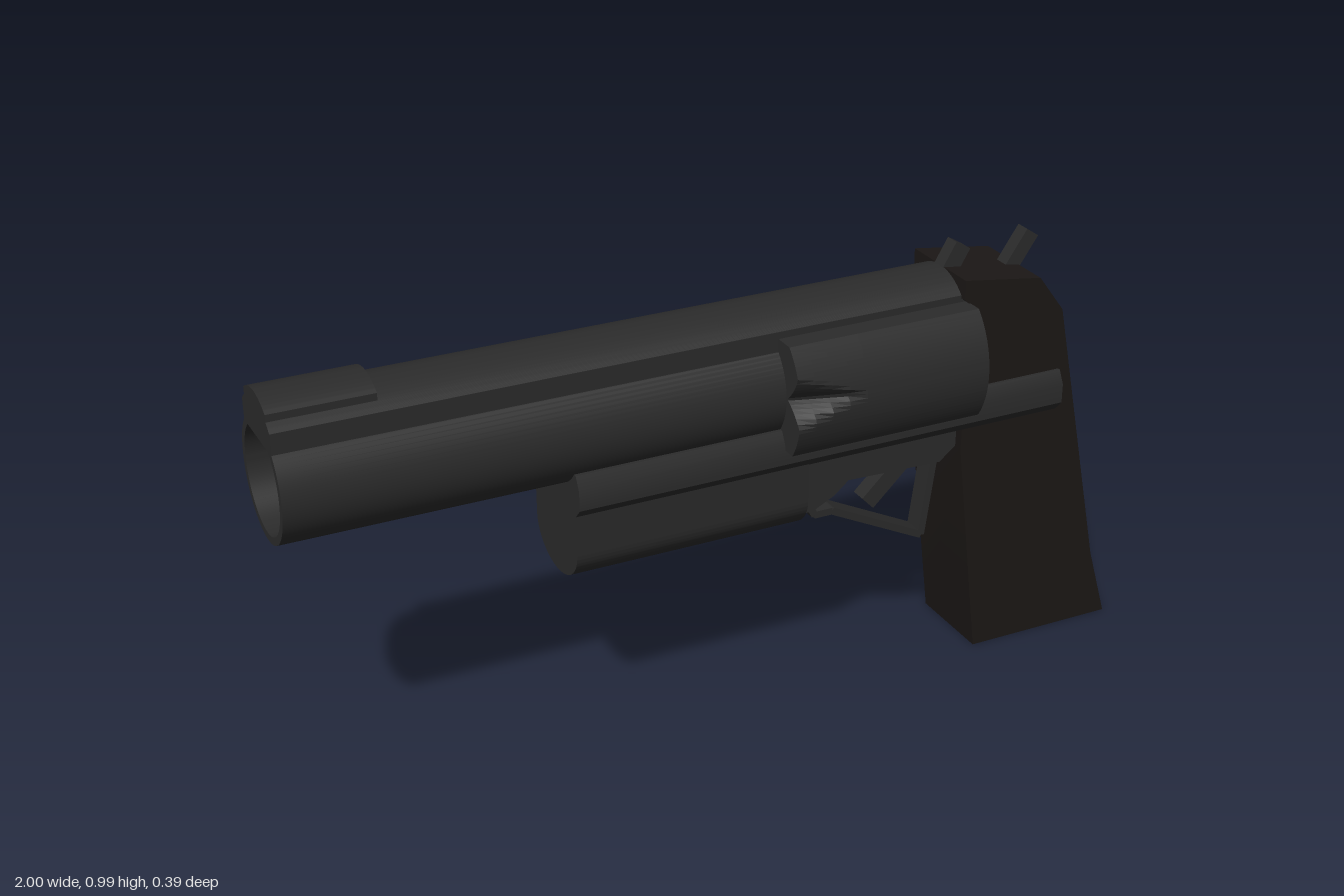
import * as THREE from 'three';
import { toCreasedNormals } from 'three/addons/utils/BufferGeometryUtils.js';

const metal = new THREE.MeshStandardMaterial({ color: 0x2b2b2b });
const metalFlat = new THREE.MeshStandardMaterial({ color: 0x2b2b2b, flatShading: true, side: THREE.DoubleSide });
const gripMat = new THREE.MeshStandardMaterial({ color: 0x1c1816 });
const Z0 = -0.004;

export function createModel() {
  const group = new THREE.Group();

  function add(name, geometry, material = metal) {
    const mesh = new THREE.Mesh(geometry, material);
    mesh.name = name;
    group.add(mesh);
    return mesh;
  }

  const polygon = (pts) => new THREE.Shape(pts.map(([a, b]) => new THREE.Vector2(a, b)));

  // Cross-section (z, y) swept along x
  function alongX(name, shape, x0, x1) {
    const g = new THREE.ExtrudeGeometry(shape, { depth: x1 - x0, bevelEnabled: false, curveSegments: 40 });
    g.rotateY(Math.PI / 2).translate(x0, 0, Z0);
    return add(name, toCreasedNormals(g, 0.5));
  }

  // Side outline (x, y) given a width across z
  function alongZ(name, pts, width, material) {
    const g = new THREE.ExtrudeGeometry(polygon(pts), { depth: width, bevelEnabled: false });
    g.translate(0, 0, Z0 - width / 2);
    return add(name, toCreasedNormals(g, 0.3), material);
  }

  // Straight bar between two side-view points
  function bar(name, [x0, y0], [x1, y1], thick, width) {
    const dx = x1 - x0, dy = y1 - y0;
    const m = add(name, new THREE.BoxGeometry(Math.hypot(dx, dy), thick, width));
    m.position.set((x0 + x1) / 2, (y0 + y1) / 2, Z0);
    m.rotation.z = Math.atan2(dy, dx);
  }

  // Section with straight sides and a domed top, centred on z = 0
  function dome(halfWidth, bottom, centreY, r) {
    const a = Math.acos(halfWidth / r);
    const s = new THREE.Shape();
    s.moveTo(-halfWidth, bottom);
    s.lineTo(halfWidth, bottom);
    s.absarc(0, centreY, r, a, Math.PI - a, false);
    s.closePath();
    return s;
  }

  // Hollow barrel
  const ring = new THREE.Shape().absarc(0, 0.76, 0.133, 0, Math.PI * 2);
  ring.holes.push(new THREE.Path().absarc(0, 0.76, 0.116, 0, Math.PI * 2));
  alongX('barrel', ring, -1, 0.56);

  // Rib on top of the barrel and the front sight
  alongX('topRib', dome(0.093, 0.853, 0.81, 0.13), -1, 0.56);
  alongX('frontSight', dome(0.073, 0.9, 0.826, 0.13), -1, -0.775);

  // Long frame rail with chamfered edges
  alongX('frameRail', polygon([
    [-0.108, 0.58], [0.108, 0.58], [0.131, 0.605], [0.131, 0.65],
    [0.115, 0.68], [-0.115, 0.68], [-0.131, 0.65], [-0.131, 0.605],
  ]), -0.38, 0.81);

  // Round-bottomed housing under the barrel
  const lug = new THREE.Shape();
  lug.moveTo(0.11, 0.62);
  lug.lineTo(-0.11, 0.62);
  lug.lineTo(-0.11, 0.49);
  lug.absellipse(0, 0.49, 0.11, 0.085, Math.PI, Math.PI * 2, false);
  lug.closePath();
  alongX('underBarrelHousing', lug, -0.38, 0.17);

  // Lower frame above the trigger
  alongZ('lowerFrame', [
    [0.16, 0.6], [0.16, 0.445], [0.2, 0.45], [0.25, 0.475], [0.285, 0.505],
    [0.52, 0.498], [0.56, 0.53], [0.58, 0.6],
  ], 0.17);

  // Fluted cylinder sides: closed lofts, mirrored in z
  const xs = [0.1, 0.1, 0.14, 0.18, 0.22, 0.262, 0.565, 0.565];
  const cols = 32, aMin = -0.606, aMax = 0.775;
  const side = new THREE.PlaneGeometry(1, 1, cols, xs.length - 1);
  const pos = side.attributes.position;
  for (let i = 0; i < pos.count; i++) {
    const row = Math.floor(i / (cols + 1)), col = i % (cols + 1), x = xs[row];
    const t = THREE.MathUtils.clamp((col - 1) / (cols - 2), 0, 1);
    const a = aMin + (aMax - aMin) * t;
    const w = 0.3 * Math.max(0, 1 - (x - 0.1) / 0.16);
    const cut = 0.2 * Math.max(0, w - Math.abs(a - 0.1));
    const r = 0.193 - cut;
    const inner = col === 0 || col === cols || row === 0 || row === xs.length - 1;
    pos.setXYZ(i, x, 0.75 + r * Math.sin(a), inner ? 0.08 : r * Math.cos(a));
  }
  for (const s of [1, -1]) {
    add(s > 0 ? 'cylinderFrontSide' : 'cylinderBackSide', side, metalFlat).scale.z = s;
  }

  // Grip and rear of the frame
  alongZ('grip', [
    [0.625, 0], [0.995, 0], [0.945, 0.17], [0.81, 0.825], [0.745, 0.912],
    [0.55, 0.94], [0.55, 0.895], [0.567, 0.88], [0.56, 0.53],
  ], 0.215, gripMat);

  // Trigger guard and trigger
  const guard = [[0.2, 0.465], [0.235, 0.4], [0.28, 0.4], [0.518, 0.282], [0.552, 0.53]];
  for (let i = 1; i < guard.length; i++) bar('triggerGuard', guard[i - 1], guard[i], 0.017, 0.05);
  bar('trigger', [0.375, 0.395], [0.51, 0.525], 0.042, 0.04);

  // Hammer and rear sight
  bar('hammer', [0.715, 0.89], [0.778, 0.983], 0.036, 0.036);
  bar('rearSight', [0.56, 0.92], [0.597, 0.983], 0.042, 0.036);

  return group;
}
